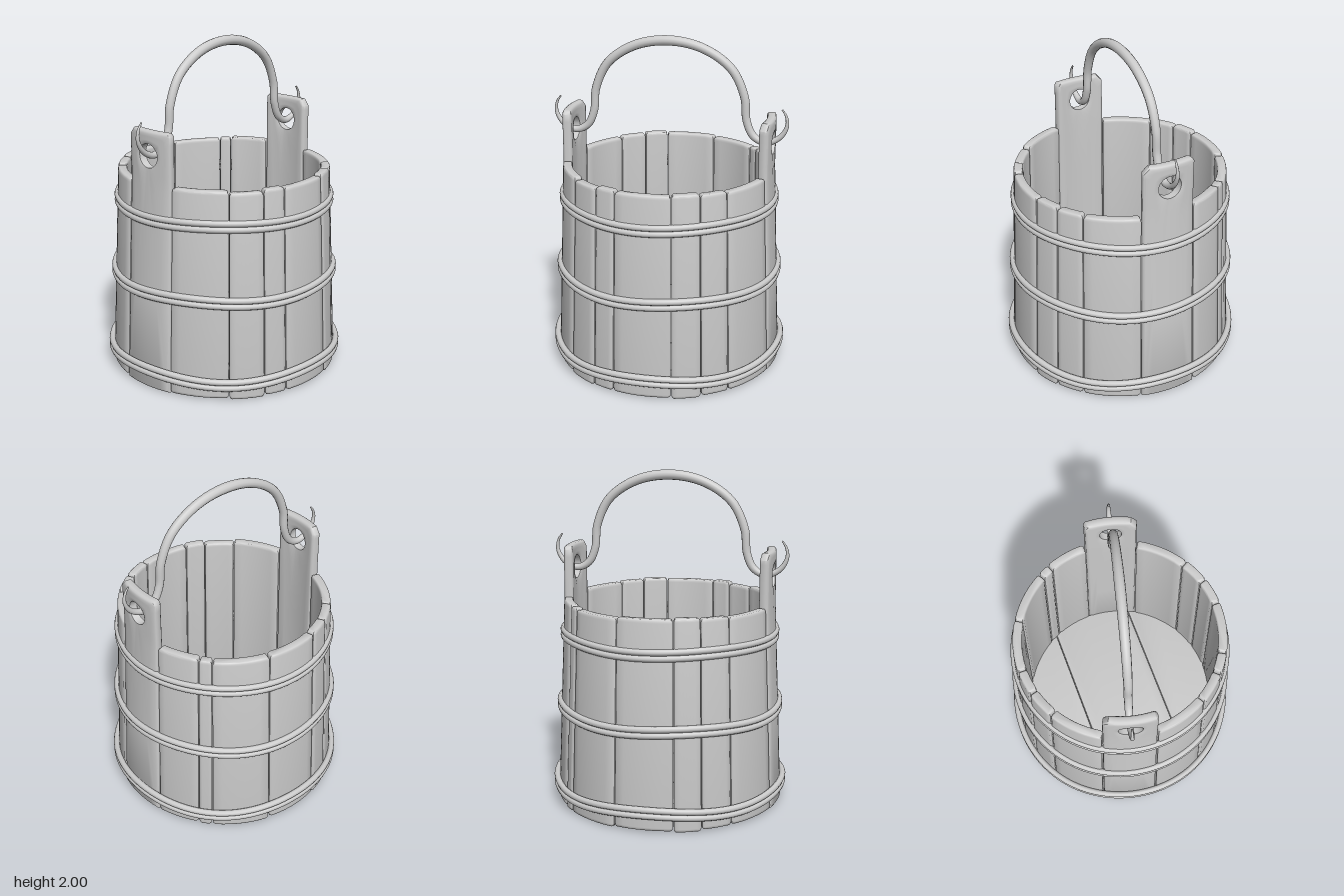
import * as THREE from 'three';
import { toCreasedNormals } from 'three/addons/utils/BufferGeometryUtils.js';

const material = new THREE.MeshStandardMaterial({ color: 0xcccccc });
const RIM = 1.24, GAP = 0.003, RAD = Math.PI / 180;

// Wall radii: the outside tapers up to the rim, then runs straight
const mix = THREE.MathUtils.lerp;
const outer = y => mix(0.69, 0.635, Math.min(y / RIM, 1));
const inner = y => mix(0.6, 0.58, Math.min(y / RIM, 1));

function addMesh(parent, name, geometry) {
  const mesh = new THREE.Mesh(geometry, material);
  mesh.name = name;
  parent.add(mesh);
  return mesh;
}

// Ordinary stave: ring sector with cut corners, extruded up, then tapered
function staveGeometry(a0, a1, bottom, top) {
  const ri = 0.59, ro = 0.69, cut = 0.013, n = 7, pts = [];
  const at = (r, a) => pts.push(new THREE.Vector2(r * Math.cos(a), r * Math.sin(a)));
  const go = GAP / ro, gi = GAP / ri;
  at(ro - cut, a0 + go);
  for (let i = 0; i <= n; i++) at(ro, mix(a0 + go + cut / ro, a1 - go - cut / ro, i / n));
  at(ro - cut, a1 - go);
  at(ri + cut, a1 - gi);
  for (let i = 0; i <= n; i++) at(ri, mix(a1 - gi - cut / ri, a0 + gi + cut / ri, i / n));
  at(ri + cut, a0 + gi);
  const b = 0.02;
  const geo = new THREE.ExtrudeGeometry(new THREE.Shape(pts), {
    depth: top - bottom - 2 * b, bevelEnabled: true, bevelThickness: b,
    bevelSize: 0.014, bevelOffset: -0.014, bevelSegments: 3
  });
  geo.rotateX(-Math.PI / 2).translate(0, bottom + b, 0);
  const p = geo.attributes.position;
  for (let i = 0; i < p.count; i++) {
    const x = p.getX(i), y = p.getY(i), z = p.getZ(i), r = Math.hypot(x, z);
    const k = mix(inner(y), outer(y), (r - ri) / (ro - ri)) / r;
    p.setXYZ(i, x * k, y, z * k);
  }
  return toCreasedNormals(geo, 0.8);
}

// Tall stave with a hole: loops run from the hole to the outline and back, bent round the wall
function earStaveGeometry(mid) {
  const H = 1.545, w = 15 * RAD - GAP / 0.63, hy = 1.4, hr = 0.07, R = 0.62;
  const sideY = [0, 0.5, 0.9, 1.1, 1.2, 1.26, 1.31, 1.355, 1.4, 1.44, 1.48];
  const outline = [];
  for (let i = 0; i < 8; i++) outline.push([mix(-w, w, i / 8), 0]);
  for (const y of sideY) outline.push([w, y]);
  outline.push([w, 1.525], [w - 0.02, 1.54]);
  for (let i = 0; i <= 8; i++) outline.push([mix(w - 0.03, -w + 0.055, i / 8), H]);
  outline.push([-w, 1.505]);
  for (const y of sideY.slice(1).reverse()) outline.push([-w, y]);
  // Cross-section: share of the way out, edge inset, share of the thickness
  const section = [[0, 0, 0.08], [0, 0, 0.92], [0.07, 0, 1], [0.3, 0, 1], [0.6, 0, 1], [1, 0.016, 1],
    [1, 0.005, 0.92], [1, 0, 0.75], [1, 0, 0.25], [1, 0.005, 0.08], [1, 0.016, 0],
    [0.6, 0, 0], [0.3, 0, 0], [0.07, 0, 0]];
  const pos = [], index = [], n = outline.length, m = section.length;
  outline.forEach(([u, y], i) => {
    const dir = Math.atan2(y - hy, u * R);
    const hu = Math.cos(dir) * hr / R, hv = hy + Math.sin(dir) * hr;
    section.forEach(([s, e, t], j) => {
      const ou = u * (1 - e / (w * R)), ov = THREE.MathUtils.clamp(y, e, H - e);
      const a = mid + mix(hu, ou, s), v = mix(hv, ov, s), r = mix(inner(v), outer(v), t);
      pos.push(r * Math.cos(a), v, -r * Math.sin(a));
      const i2 = (i + 1) % n, j2 = (j + 1) % m;
      const A = i * m + j, B = i * m + j2, C = i2 * m + j2, D = i2 * m + j;
      index.push(A, B, C, A, C, D);
    });
  });
  const geo = new THREE.BufferGeometry();
  geo.setAttribute('position', new THREE.Float32BufferAttribute(pos, 3));
  geo.setIndex(index);
  return toCreasedNormals(geo, 0.8);
}

// Bent rod handle with hooked ends, thinning towards the tips
function handleGeometry() {
  const half = [[0.2, 1.932], [0.36, 1.82], [0.435, 1.66], [0.45, 1.52], [0.49, 1.43], [0.56, 1.395],
    [0.64, 1.43], [0.68, 1.5], [0.675, 1.56], [0.65, 1.6]];
  const pts = [...half.map(([d, y]) => [-d, y]).reverse(), [0, 1.97], ...half]
    .map(([d, y]) => new THREE.Vector3(0, y, d / Math.cos(15 * RAD)));
  const path = new THREE.CatmullRomCurve3(pts, false, 'centripetal');
  const n = 140, sides = 12, base = 0.03;
  const geo = new THREE.TubeGeometry(path, n, base, sides);
  const p = geo.attributes.position, v = new THREE.Vector3();
  for (let i = 0; i <= n; i++) {
    const c = path.getPointAt(i / n), s = Math.abs(2 * i / n - 1);
    const k = s < 0.65 ? mix(1, 0.8, s / 0.65) : mix(0.8, 0.15, ((s - 0.65) / 0.35) ** 1.5);
    for (let j = 0; j <= sides; j++) {
      const q = i * (sides + 1) + j;
      v.fromBufferAttribute(p, q).sub(c).multiplyScalar(k).add(c);
      p.setXYZ(q, v.x, v.y, v.z);
    }
  }
  return geo;
}

// Slightly wavy hoop wire
function hoopGeometry(radius, y, wave, phase) {
  const pts = [];
  for (let i = 0; i < 36; i++) {
    const a = i * 10 * RAD;
    pts.push(new THREE.Vector3(radius * Math.cos(a), y + wave * Math.sin(4 * a + phase), -radius * Math.sin(a)));
  }
  return new THREE.TubeGeometry(new THREE.CatmullRomCurve3(pts, true), 108, 0.019, 10, true);
}

// Floor plank: slice of a disc between two x positions
function plankGeometry(x0, x1, r) {
  const pts = [];
  for (const side of [1, -1]) {
    for (let i = 0; i <= 16; i++) {
      const x = side > 0 ? mix(x0, x1, i / 16) : mix(x1, x0, i / 16);
      pts.push(new THREE.Vector2(x, side * Math.sqrt(Math.max(r * r - x * x, 0.0004))));
    }
  }
  const b = 0.008;
  const geo = new THREE.ExtrudeGeometry(new THREE.Shape(pts), {
    depth: 0.05 - 2 * b, bevelThickness: b, bevelSize: b, bevelOffset: -b, bevelSegments: 2
  });
  geo.rotateX(-Math.PI / 2).translate(0, 0.1 + b, 0);
  return toCreasedNormals(geo, 0.6);
}

export function createModel() {
  const bucket = new THREE.Group();
  bucket.name = 'bucket';

  // Twelve staves; two opposite ones rise into ears, a few are split in two
  const staves = new THREE.Group();
  staves.name = 'staves';
  bucket.add(staves);
  const splits = { 0: 15, 3: 23, 6: 14, 10: 18 };
  for (let k = 0; k < 12; k++) {
    const a = k * 30;
    if (k === 2 || k === 8) {
      addMesh(staves, 'earStave', earStaveGeometry((a + 15) * RAD));
      continue;
    }
    const cuts = splits[k] ? [a, a + splits[k], a + 30] : [a, a + 30];
    for (let i = 0; i + 1 < cuts.length; i++) {
      const bottom = 0.008 * ((k + i) % 2), top = RIM - 0.006 * ((k * 2 + i) % 3);
      addMesh(staves, 'stave', staveGeometry(cuts[i] * RAD, cuts[i + 1] * RAD, bottom, top));
    }
  }

  // Floor of three planks, set above the stave ends
  const floor = new THREE.Group();
  floor.name = 'floor';
  bucket.add(floor);
  for (const [x0, x1] of [[-0.605, -0.266], [-0.264, 0.259], [0.261, 0.605]]) {
    addMesh(floor, 'floorPlank', plankGeometry(x0, x1, 0.605));
  }

  // Three hoops, each of two wires
  const hoops = new THREE.Group();
  hoops.name = 'hoops';
  bucket.add(hoops);
  for (const [radius, y, wave, phase] of [[0.643, 1.035, 0.005, 0], [0.67, 0.59, 0.008, 1], [0.7, 0.11, 0.012, 2.5]]) {
    for (const side of [-1, 1]) addMesh(hoops, 'hoopWire', hoopGeometry(radius, y + side * 0.018, wave, phase));
  }

  // Handle hooked through both ears
  addMesh(bucket, 'handle', handleGeometry()).rotation.y = -15 * RAD;

  return bucket;
}
